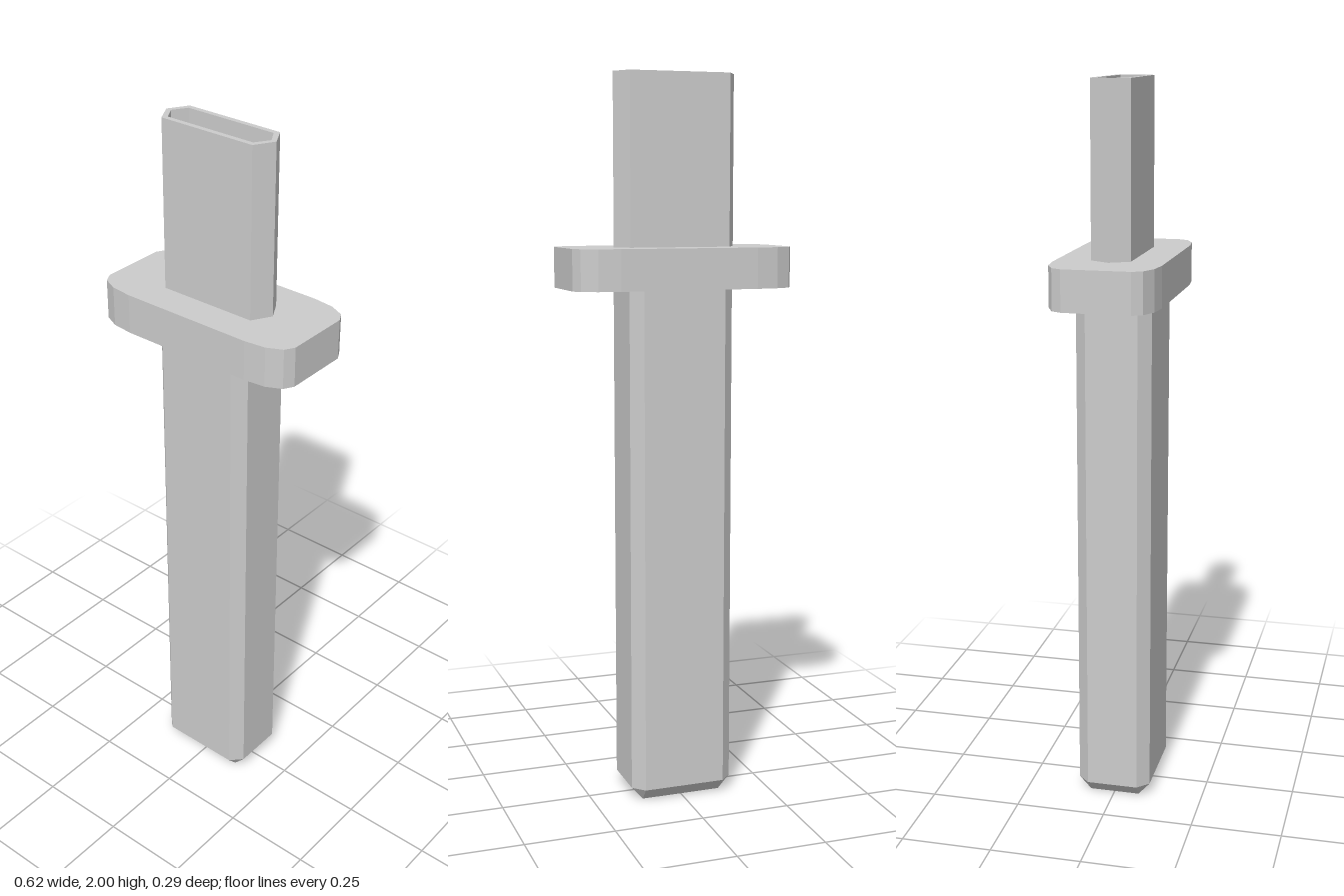
import * as THREE from 'three';
import { ConvexGeometry } from 'three/addons/geometries/ConvexGeometry.js';

const material = new THREE.MeshStandardMaterial({ color: 0xcccccc, flatShading: true });

// Mirrors the corner points of one quadrant into a full counter-clockwise outline
function mirrored(quadrant) {
  const half = [...quadrant, ...quadrant.map(([x, z]) => [-x, z]).reverse()];
  return [...half, ...half.map(([x, z]) => [-x, -z])].map(([x, z]) => new THREE.Vector2(x, z));
}

// Pointed-end hexagon
function hexagon(tip, flat, depth) {
  return [[tip, 0], [flat, depth], [-flat, depth], [-tip, 0], [-flat, -depth], [flat, -depth]]
    .map(([x, z]) => new THREE.Vector2(x, z));
}

// Extrudes a plan outline upwards from y0 to y1
function prism(shape, y0, y1) {
  return new THREE.ExtrudeGeometry(shape, { depth: y1 - y0, bevelEnabled: false })
    .rotateX(-Math.PI / 2)
    .translate(0, y0, 0);
}

export function createModel() {
  const group = new THREE.Group();
  const add = (name, geometry) => {
    const mesh = new THREE.Mesh(geometry, material);
    mesh.name = name;
    group.add(mesh);
    return mesh;
  };

  // Grip: chamfered bar tapering to a small rectangle at its foot
  const section = mirrored([[0.146, 0.071], [0.115, 0.103]]);
  const foot = mirrored([[0.113, 0.07]]);
  const at = (outline, y) => outline.map((p) => new THREE.Vector3(p.x, y, p.y));
  add('grip', new ConvexGeometry([...at(foot, 0), ...at(section, 0.037), ...at(section, 1.435)]));

  // Guard: wide plate with rounded corners
  const plate = mirrored([[0.308, 0.091], [0.293, 0.118], [0.251, 0.138], [0.191, 0.145]]);
  add('guard', prism(new THREE.Shape(plate), 1.43, 1.54));

  // Collar: hollow hexagonal sleeve standing on the guard
  const sleeve = new THREE.Shape(hexagon(0.1715, 0.141, 0.053));
  sleeve.holes.push(new THREE.Path(hexagon(0.1565, 0.1325, 0.039)));
  add('collar', prism(sleeve, 1.535, 2)).position.x = -0.0045;

  return group;
}
